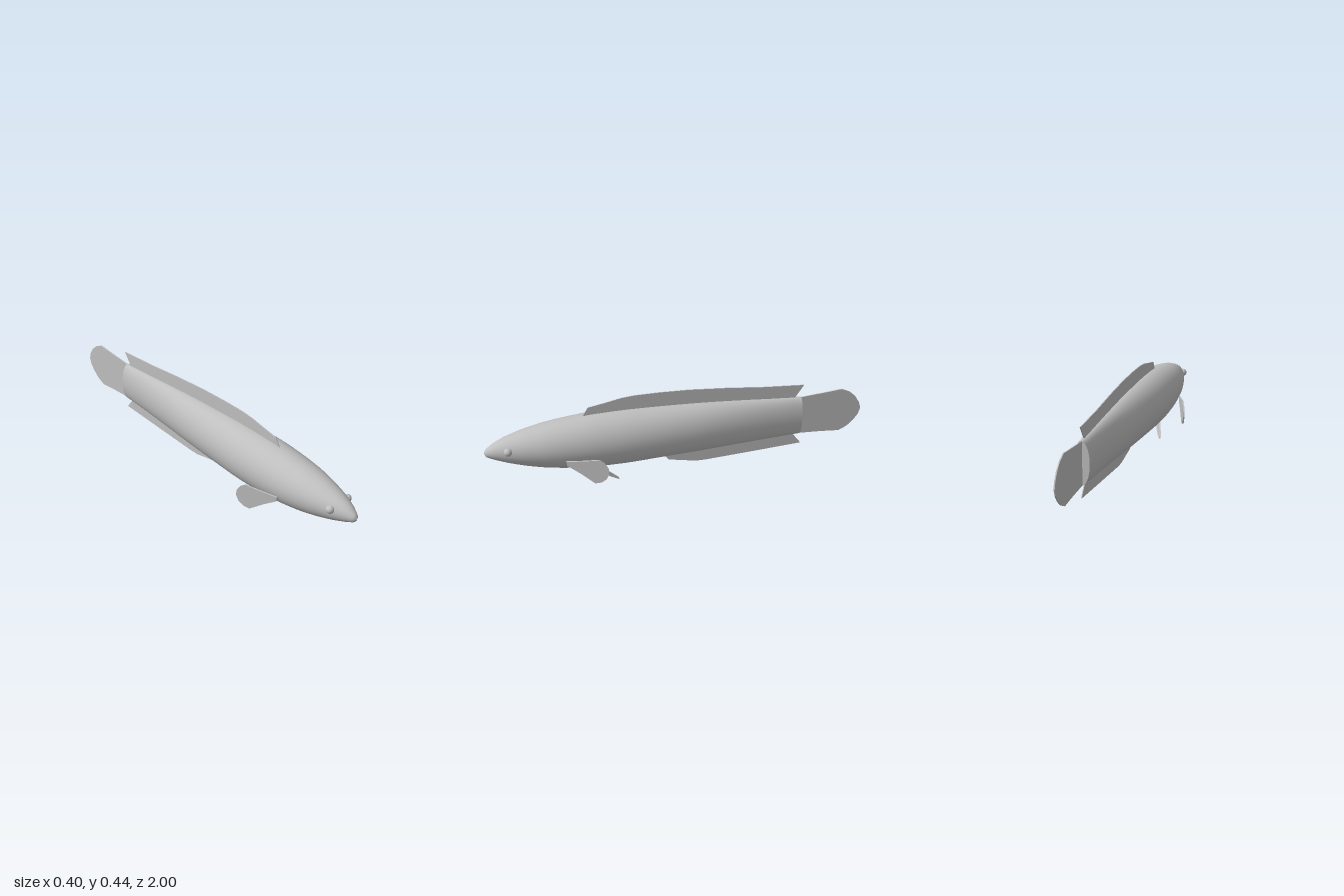
import * as THREE from 'three';

export function createModel() {
  const fish = new THREE.Group();
  fish.name = 'fish';
  const grey = new THREE.MeshStandardMaterial({ color: 0xbfbfbf });
  grey.name = 'plain grey';

  function add(geometry, name) {
    const mesh = new THREE.Mesh(geometry, grey);
    mesh.name = name;
    fish.add(mesh);
    return mesh;
  }

  // Body sections from snout to tail root: z, half width, bottom, top
  const sections = [
    [1, 0.002, 0.207, 0.213], [0.99, 0.018, 0.191, 0.23], [0.95, 0.04, 0.172, 0.258],
    [0.89, 0.064, 0.15, 0.284], [0.8, 0.09, 0.123, 0.311], [0.7, 0.11, 0.1, 0.332],
    [0.6, 0.121, 0.084, 0.346], [0.45, 0.128, 0.069, 0.36], [0.3, 0.127, 0.066, 0.363],
    [0.1, 0.115, 0.07, 0.359], [-0.1, 0.098, 0.074, 0.351], [-0.3, 0.075, 0.08, 0.338],
    [-0.5, 0.053, 0.086, 0.322], [-0.66, 0.04, 0.091, 0.31],
  ];
  const sizes = new THREE.CatmullRomCurve3(sections.map(([, w, b, t]) => new THREE.Vector3(w, b, t)));
  const depths = new THREE.CatmullRomCurve3(sections.map(([z]) => new THREE.Vector3(z, 0, 0)));
  const rings = 52, sides = 32, position = [], index = [];
  for (let i = 0; i <= rings; i++) {
    const s = sizes.getPoint(i / rings), z = depths.getPoint(i / rings).x;
    for (let j = 0; j < sides; j++) {
      const a = (j / sides) * Math.PI * 2;
      position.push(s.x * Math.cos(a), (s.y + s.z) / 2 + ((s.z - s.y) / 2) * Math.sin(a), z);
      if (i === rings) continue;
      const k = (j + 1) % sides, p = i * sides + j, q = i * sides + k;
      index.push(p, p + sides, q, q, p + sides, q + sides);
    }
  }
  const body = new THREE.BufferGeometry();
  body.setAttribute('position', new THREE.Float32BufferAttribute(position, 3));
  body.setIndex(index);
  body.computeVertexNormals();
  add(body, 'body');

  // Flat end of the body behind the tail root
  const cap = new THREE.CircleGeometry(1, sides).rotateY(Math.PI);
  cap.scale(0.04, 0.1095, 1).translate(0, 0.2005, -0.66);
  add(cap, 'bodyEnd');

  // Fin plate outlined in (z, y), lying on the plane x = a + b z + c y
  function fin(name, points, thickness, a = 0, b = 0, c = 0) {
    const shape = new THREE.Shape(points.map(([z, y]) => new THREE.Vector2(z, y)));
    const g = new THREE.ExtrudeGeometry(shape, { depth: thickness, bevelEnabled: false });
    g.translate(0, 0, -thickness / 2);
    g.applyMatrix4(new THREE.Matrix4().set(
      b, c, -1, a,
      0, 1, 0, 0,
      1, 0, 0, 0,
      0, 0, 0, 1));
    g.computeVertexNormals();
    add(g, name);
  }

  fin('dorsalFin', [
    [0.5, 0.35], [0.47, 0.4], [0.38, 0.416], [0.3, 0.432], [0.23, 0.438], [0.1, 0.438],
    [-0.05, 0.433], [-0.25, 0.417], [-0.45, 0.396], [-0.672, 0.38], [-0.628, 0.315],
    [-0.62, 0.29], [-0.3, 0.32], [0.1, 0.335],
  ], 0.005);

  fin('analFin', [
    [0.1, 0.09], [0.085, 0.068], [0.055, 0.032], [-0.03, 0.015], [-0.09, 0.002], [-0.15, 0.002],
    [-0.4, 0.015], [-0.67, 0.03], [-0.628, 0.085], [-0.62, 0.11], [-0.3, 0.1],
  ], 0.005);

  fin('tailFin', [
    [-0.65, 0.308], [-0.78, 0.318], [-0.885, 0.327], [-0.93, 0.307], [-0.965, 0.275],
    [-0.99, 0.235], [-1, 0.2], [-0.99, 0.165], [-0.965, 0.13], [-0.93, 0.098],
    [-0.885, 0.076], [-0.78, 0.085], [-0.65, 0.092],
  ], 0.006);

  // Paired fins and eyes
  for (const [side, s] of [['left', 1], ['right', -1]]) {
    fin(side + 'PectoralFin', [
      [0.605, 0.175], [0.52, 0.186], [0.45, 0.198], [0.425, 0.18], [0.409, 0.15],
      [0.408, 0.12], [0.42, 0.09], [0.445, 0.068], [0.475, 0.06], [0.54, 0.11], [0.605, 0.153],
    ], 0.008, s * 0.36, s * -0.4);

    fin(side + 'PelvicFin', [
      [0.48, 0.078], [0.42, 0.035], [0.375, 0.016], [0.336, 0.007], [0.338, 0.018],
      [0.375, 0.045], [0.418, 0.073],
    ], 0.008, s * 0.2735, s * -0.579, s * 0.353);

    const eye = add(new THREE.SphereGeometry(0.021, 20, 14), side + 'Eye');
    eye.position.set(s * 0.06, 0.236, 0.885);
  }
  return fish;
}
